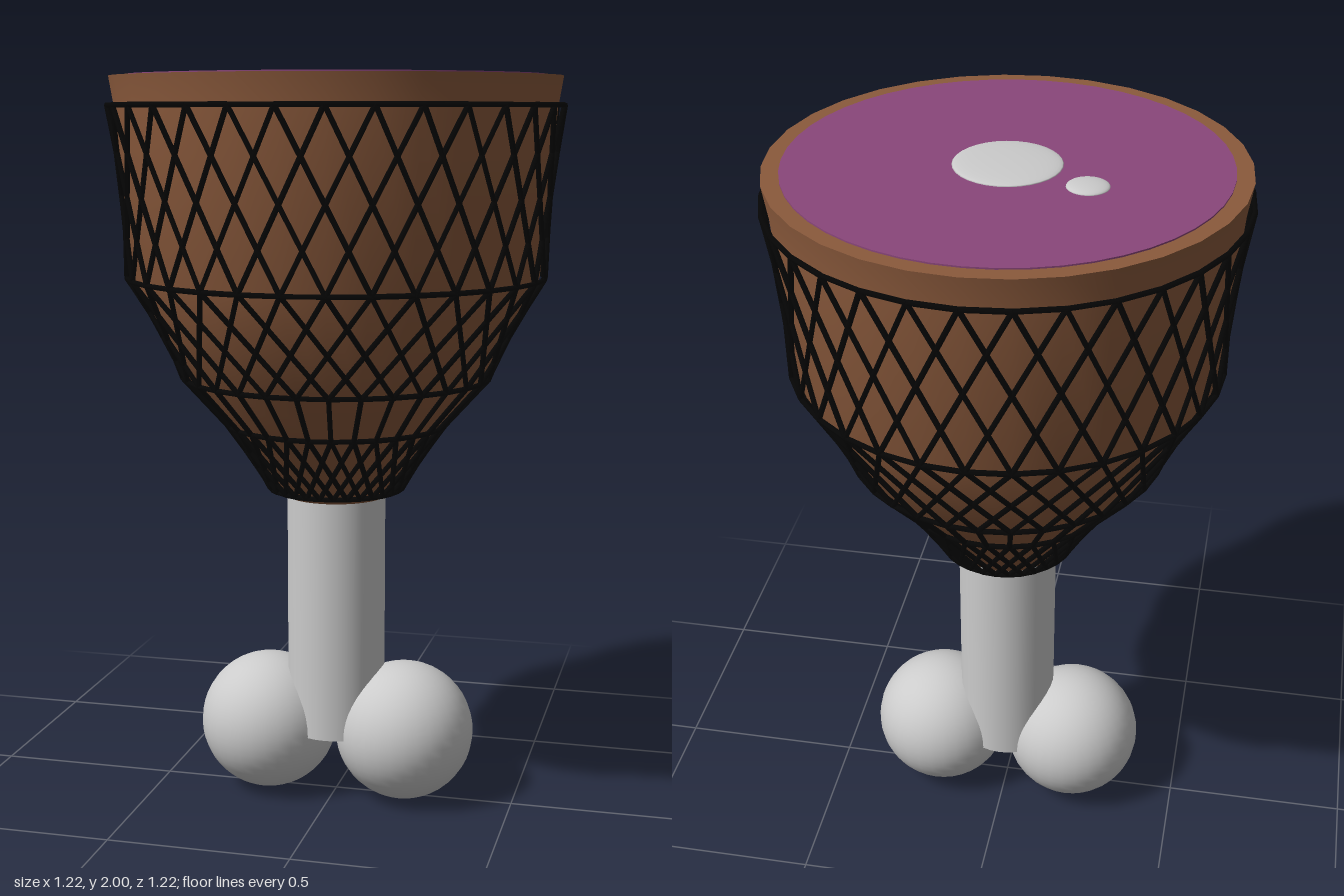
import * as THREE from 'three';
import { mergeGeometries } from 'three/addons/utils/BufferGeometryUtils.js';

const SIDES = 32;
const material = (color) => new THREE.MeshStandardMaterial({ color });

// Straight rod between two points
function rod(a, b, radius) {
  const dir = b.clone().sub(a);
  const geometry = new THREE.CylinderGeometry(radius, radius, dir.length(), 6);
  const turn = new THREE.Quaternion().setFromUnitVectors(new THREE.Vector3(0, 1, 0), dir.normalize());
  geometry.applyQuaternion(turn);
  const mid = a.clone().add(b).multiplyScalar(0.5);
  return geometry.translate(mid.x, mid.y, mid.z);
}

export function createModel() {
  const model = new THREE.Group();
  model.name = 'hamLeg';
  const bone = material(0xcccccc);
  const skin = material(0x8b5a3c);
  const flesh = material(0x8a467a);
  const string = material(0x050505);

  function add(name, geometry, mat, x = 0, y = 0, z = 0) {
    const mesh = new THREE.Mesh(geometry, mat);
    mesh.name = name;
    mesh.position.set(x, y, z);
    model.add(mesh);
    return mesh;
  }

  // Tapered meat body, closed at the bottom and with a flat rim on top
  const profile = [
    [0, 0.86], [0.14, 0.86], [0.172, 0.89], [0.285, 1.06], [0.4, 1.19],
    [0.545, 1.46], [0.583, 1.9], [0.597, 1.985],
  ].map(([r, y]) => new THREE.Vector2(r, y));
  add('meatBody', new THREE.LatheGeometry(profile, SIDES), skin);
  const rim = new THREE.RingGeometry(0.54, 0.597, SIDES).rotateX(-Math.PI / 2);
  add('meatRim', rim, skin, 0, 1.985, 0);

  // Cut face with two flat lens-shaped bone ends
  add('cutFace', new THREE.CylinderGeometry(0.552, 0.552, 0.02, 48), flesh, 0, 1.979, 0);
  for (const [name, r, x, z] of [['cutBone', 0.136, 0, 0], ['smallCutBone', 0.053, -0.21, -0.096]]) {
    add(name, new THREE.SphereGeometry(r, 32, 16), bone, x, 1.989, z).scale.y = 0.011 / r;
  }

  // String net: rings joined by crossing strands, [radius, height, steps to the next ring]
  const rings = [[0.602, 1.91, 2], [0.56, 1.46, 2], [0.417, 1.19, 0], [0.3, 1.06, 2], [0.184, 0.882, 0]];
  const point = ([r, y], i) => {
    const a = (i / SIDES) * Math.PI * 2;
    return new THREE.Vector3(r * Math.sin(a), y, r * Math.cos(a));
  };
  const strands = [];
  rings.forEach((ring, k) => {
    const next = rings[k + 1];
    for (let i = 0; i < SIDES; i++) {
      strands.push(rod(point(ring, i), point(ring, i + 1), 0.007));
      if (!next) continue;
      const steps = ring[2] ? [ring[2], -ring[2]] : [0];
      for (const s of steps) strands.push(rod(point(ring, i), point(next, i + s), 0.007));
    }
  });
  add('stringNet', mergeGeometries(strands), string);

  // Leg bone with two round knuckles
  add('boneShaft', new THREE.CylinderGeometry(0.135, 0.135, 0.72, 32), bone, 0, 0.55, 0);
  for (const side of [-1, 1]) {
    const name = side > 0 ? 'leftKnuckle' : 'rightKnuckle';
    add(name, new THREE.SphereGeometry(0.192, 32, 24), bone, side * 0.195, 0.195, 0);
  }
  return model;
}
